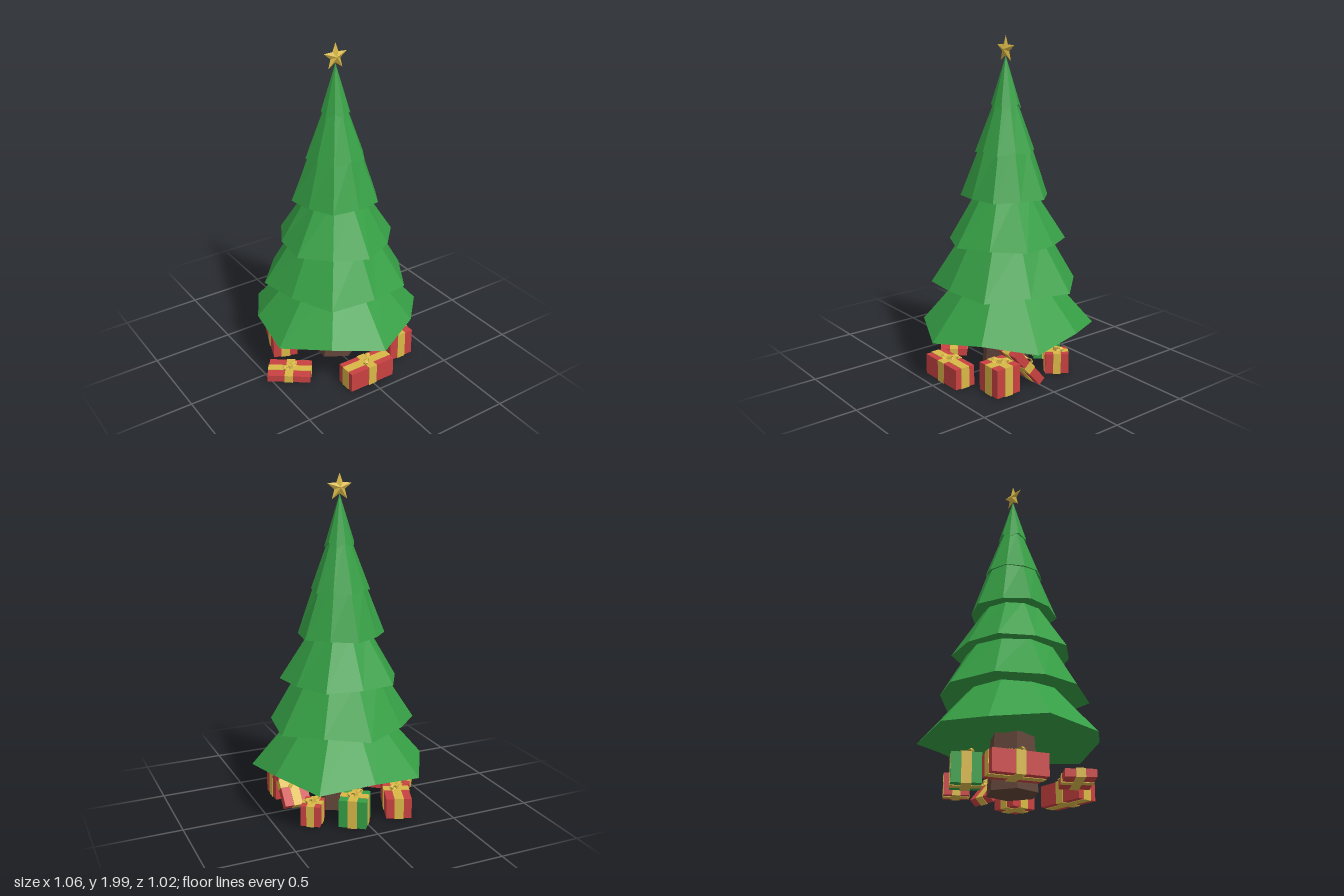
import * as THREE from 'three';

const material = (color) => new THREE.MeshStandardMaterial({ color, flatShading: true });
const green = material(0x369f45);
const red = material(0xc94141);
const gold = material(0xd9b847);
const bark = material(0x624539);
const AXIS = { x: 0.025, z: -0.02 };

function mesh(name, geometry, mat, x = 0, y = 0, z = 0) {
  const m = new THREE.Mesh(geometry, mat);
  m.name = name;
  m.position.set(x, y, z);
  return m;
}

// Geometry from a list of triangles, each corner an [x, y, z]
function faceted(triangles) {
  const g = new THREE.BufferGeometry();
  g.setAttribute('position', new THREE.Float32BufferAttribute(triangles.flat(2), 3));
  g.computeVertexNormals();
  return g;
}

// Ten-sided skirt whose rim corners alternate long and short
function tierGeometry({ r, y, topR, topY, lift, longOdd }) {
  const ring = (radius, height, wavy) => Array.from({ length: 10 }, (_, i) => {
    const a = i * Math.PI / 5;
    const short = wavy && (i % 2 === 1) !== longOdd;
    const k = radius * (short ? 0.93 : 1);
    return [Math.sin(a) * k, height + (short ? lift : 0), -Math.cos(a) * k];
  });
  const rim = ring(r, y, true);
  const top = ring(topR, topY, false);
  const centre = [0, y + lift + 0.02, 0];
  const tris = [];
  for (let i = 0; i < 10; i++) {
    const j = (i + 1) % 10;
    tris.push([rim[j], rim[i], top[i]], [centre, rim[i], rim[j]]);
    if (topR > 0) tris.push([rim[j], top[i], top[j]]);
  }
  return faceted(tris);
}

// Five-pointed star with a raised centre on both faces
function starGeometry(outer, inner, depth) {
  const p = Array.from({ length: 10 }, (_, i) => {
    const a = Math.PI / 2 + i * Math.PI / 5;
    const r = i % 2 ? inner : outer;
    return [Math.cos(a) * r, Math.sin(a) * r, 0];
  });
  const tris = [];
  p.forEach((a, i) => {
    const b = p[(i + 1) % 10];
    tris.push([[0, 0, depth], a, b], [[0, 0, -depth], b, a]);
  });
  return faceted(tris);
}

// Knot with two standing loops
function makeBow(y) {
  const bow = new THREE.Group();
  bow.name = 'bow';
  bow.add(mesh('bowKnot', new THREE.BoxGeometry(0.026, 0.022, 0.026), gold, 0, y + 0.013, 0));
  for (const side of [-1, 1]) {
    const loop = mesh('bowLoop', new THREE.TorusGeometry(0.018, 0.006, 4, 6), gold, side * 0.028, y + 0.017, 0);
    loop.scale.set(1.2, 0.75, 2);
    loop.rotation.z = side * 0.25;
    bow.add(loop);
  }
  bow.rotation.y = Math.PI / 4;
  return bow;
}

// Wrapped box with crossed ribbons and a bow, centred on its own origin
function makePresent({ name, size: [w, h, d], at, turn = 0, tilt = 0, wrap = red, ribbon = 0.055 }) {
  const present = new THREE.Group();
  present.name = name;
  const e = 0.006;
  present.add(
    mesh('wrappedBox', new THREE.BoxGeometry(w, h, d), wrap),
    mesh('lengthRibbon', new THREE.BoxGeometry(ribbon, h + e, d + e), gold),
    mesh('crossRibbon', new THREE.BoxGeometry(w + e, h + e, ribbon), gold),
    makeBow(h / 2)
  );
  present.position.set(...at);
  present.rotation.set(tilt, turn, 0);
  return present;
}

export function createModel() {
  const model = new THREE.Group();
  model.name = 'decoratedTree';

  // Trunk
  model.add(mesh('trunk', new THREE.CylinderGeometry(0.125, 0.15, 0.38, 6), bark, AXIS.x, 0.2, AXIS.z));

  // Foliage, bottom to top
  const tiers = [
    { r: 0.53, y: 0.28, topR: 0.25, topY: 0.6, lift: 0.04, longOdd: true },
    { r: 0.443, y: 0.55, topR: 0.25, topY: 0.85, lift: 0.02, longOdd: false },
    { r: 0.355, y: 0.815, topR: 0.165, topY: 1.11, lift: 0.005, longOdd: true },
    { r: 0.264, y: 1.08, topR: 0.15, topY: 1.37, lift: 0.005, longOdd: false },
    { r: 0.178, y: 1.335, topR: 0.065, topY: 1.63, lift: 0.015, longOdd: false },
    { r: 0.09, y: 1.585, topR: 0, topY: 1.885, lift: 0.03, longOdd: true },
  ];
  tiers.forEach((t, i) => model.add(mesh(`foliageTier${i + 1}`, tierGeometry(t), green, AXIS.x, 0, AXIS.z)));

  // Tree topper
  model.add(mesh('star', starGeometry(0.08, 0.034, 0.018), gold, AXIS.x, 1.92, AXIS.z));

  // Presents around the trunk
  const presents = [
    { name: 'frontPresent', size: [0.305, 0.122, 0.13], at: [-0.008, 0.073, 0.37] },
    { name: 'cubePresent', size: [0.165, 0.168, 0.165], at: [0.297, 0.096, 0.235] },
    { name: 'leaningPresent', size: [0.165, 0.05, 0.29], at: [0.3, 0.138, 0.085], tilt: -0.86 },
    { name: 'flatPresent', size: [0.26, 0.042, 0.165], at: [-0.375, 0.033, 0.08], turn: -0.64, ribbon: 0.05 },
    { name: 'longPresent', size: [0.15, 0.122, 0.31], at: [-0.25, 0.073, -0.235], turn: -0.35 },
    { name: 'smallPresent', size: [0.115, 0.122, 0.14], at: [0.28, 0.073, -0.208], turn: -0.61, ribbon: 0.045 },
    { name: 'greenPresent', size: [0.16, 0.165, 0.165], at: [0.06, 0.095, -0.315], turn: -0.61, wrap: green },
  ];
  for (const p of presents) model.add(makePresent(p));

  return model;
}
